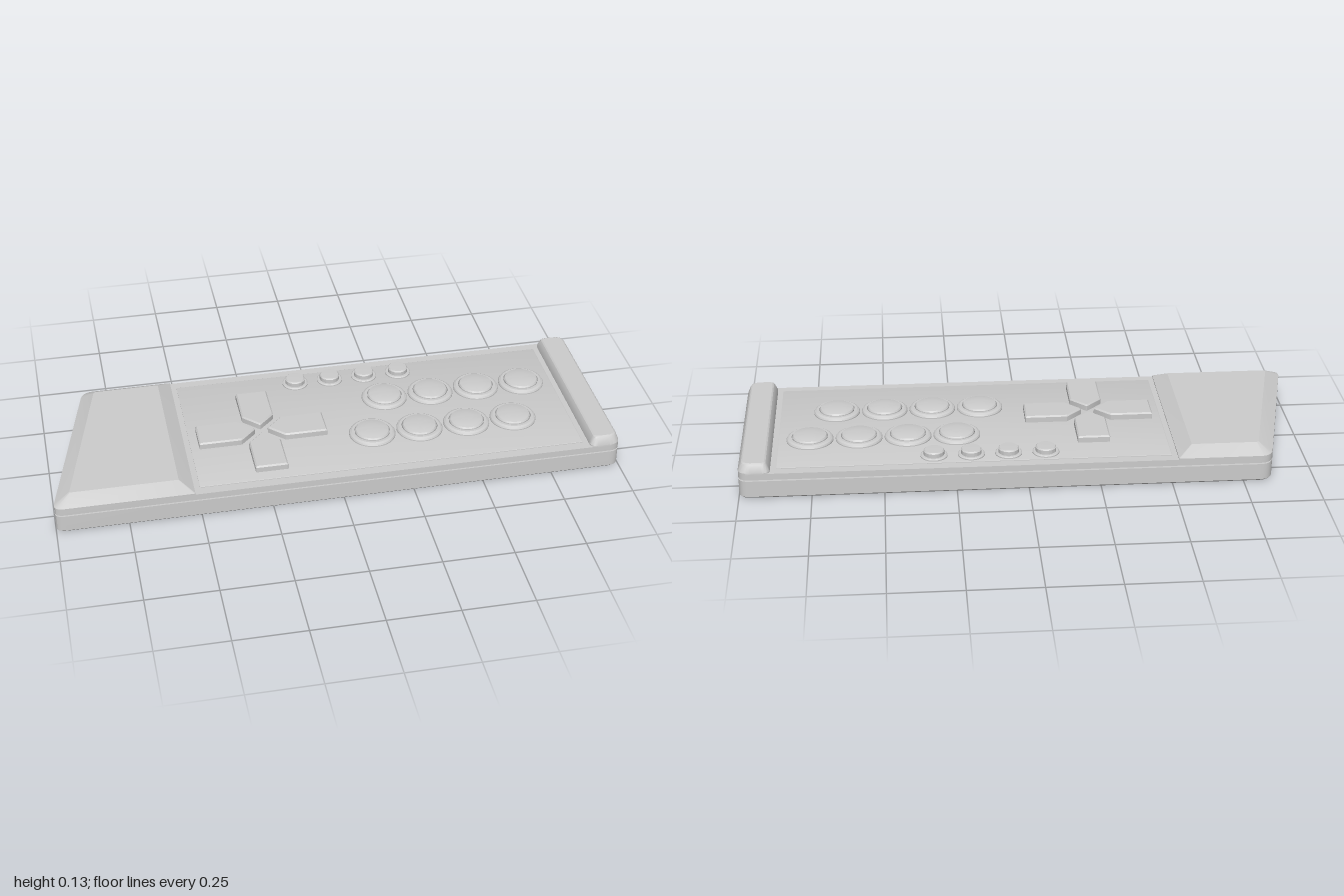
import * as THREE from 'three';
import { toCreasedNormals } from 'three/addons/utils/BufferGeometryUtils.js';

const material = new THREE.MeshStandardMaterial({ color: 0xcccccc });
const ARC = 6;

// Moves every edge of a convex [x, z] outline inwards by d
function inset(corners, d) {
  const n = corners.length;
  const normal = (i) => {
    const a = corners[i], b = corners[(i + 1) % n];
    return new THREE.Vector2(a[1] - b[1], b[0] - a[0]).normalize();
  };
  return corners.map(([x, z], i) => {
    const p = normal((i + n - 1) % n), q = normal(i), k = d / (1 + p.dot(q));
    return new THREE.Vector2(x + (p.x + q.x) * k, z + (p.y + q.y) * k);
  });
}

// Rounds the corners of an outline, always giving ARC + 1 points per corner
function rounded(points, radii, d) {
  const n = points.length;
  return points.flatMap((v, i) => {
    const r = Math.max(radii[i] - d * 0.6, 0.002);
    const towards = (w) => w.clone().sub(v).setLength(r).add(v);
    return new THREE.QuadraticBezierCurve(
      towards(points[(i + n - 1) % n]), v, towards(points[(i + 1) % n])).getPoints(ARC);
  });
}

// Solid through stacked copies of one outline; levels are [height, inset]
function stack(corners, radii, levels) {
  const loops = levels.map(([y, d]) =>
    rounded(inset(corners, d), radii, d).map((p) => new THREE.Vector3(p.x, y, p.y)));
  const pos = [];
  const tri = (...vs) => vs.forEach((v) => pos.push(v.x, v.y, v.z));
  const n = loops[0].length;
  const centre = (loop) => loop.reduce((s, p) => s.add(p), new THREE.Vector3()).divideScalar(n);
  const bottom = loops[0], top = loops[loops.length - 1];
  const cb = centre(bottom), ct = centre(top);
  for (let i = 0; i < n; i++) {
    const j = (i + 1) % n;
    for (let k = 0; k + 1 < loops.length; k++) {
      const lo = loops[k], hi = loops[k + 1];
      tri(lo[i], hi[i], lo[j]);
      tri(lo[j], hi[i], hi[j]);
    }
    tri(cb, bottom[i], bottom[j]);
    tri(ct, top[j], top[i]);
  }
  const geometry = new THREE.BufferGeometry();
  geometry.setAttribute('position', new THREE.Float32BufferAttribute(pos, 3));
  return toCreasedNormals(geometry, 0.4);
}

// Round button from a [radius, height] profile
function lathe(profile) {
  const points = profile.map(([r, y]) => new THREE.Vector2(r, y));
  return toCreasedNormals(new THREE.LatheGeometry(points, 40), 0.45);
}

export function createModel() {
  const model = new THREE.Group();
  const add = (name, geometry, x = 0, z = 0, turn = 0) => {
    const mesh = new THREE.Mesh(geometry, material);
    mesh.name = name;
    mesh.position.set(x, 0, z);
    mesh.rotation.y = turn;
    model.add(mesh);
  };

  // Case with a chamfered underside and a seam around the sides
  const outline = [[-0.845, -0.345], [1, -0.345], [1, 0.345], [-1.007, 0.345]];
  const caseRadii = [0.04, 0.04, 0.04, 0.04];
  add('lowerCase', stack(outline, caseRadii, [[0, 0.006], [0.006, 0], [0.065, 0]]));
  add('seam', stack(outline, caseRadii, [[0.06, 0.01], [0.075, 0.01]]));
  add('upperCase', stack(outline, caseRadii, [[0.07, 0], [0.093, 0]]));

  // Control panel on the deck
  const panel = [[-0.5, -0.31], [0.87, -0.31], [0.87, 0.31], [-0.5, 0.31]];
  add('controlPanel', stack(panel, [0, 0, 0, 0], [[0.09, 0], [0.095, 0], [0.096, 0.002]]));

  // Raised slanted block at one end, raised bar at the other
  const block = [[-0.845, -0.345], [-0.52, -0.345], [-0.52, 0.345], [-1.007, 0.345]];
  add('endBlock', stack(block, [0.04, 0.004, 0.004, 0.04],
    [[0.088, 0], [0.097, 0], [0.127, 0.05]]));
  const bar = [[0.89, -0.345], [1, -0.345], [1, 0.345], [0.89, 0.345]];
  add('endBar', stack(bar, [0.025, 0.04, 0.04, 0.025],
    [[0.088, 0], [0.096, 0], [0.118, 0.009], [0.124, 0.013], [0.127, 0.018]]));

  // Four pointed direction keys
  const key = [[-0.057, -0.23], [0.057, -0.23], [0.057, -0.079], [0, -0.022], [-0.057, -0.079]];
  const keyGeometry = stack(key, [0.004, 0.004, 0.004, 0.004, 0.004],
    [[0.09, 0], [0.115, 0], [0.12, 0.005]]);
  for (let i = 0; i < 4; i++) add('directionKey', keyGeometry, -0.24, 0.035, i * Math.PI / 2);

  // Two staggered rows of large buttons, each with a rim and a domed cap
  const rim = lathe([[0.083, 0.09], [0.083, 0.1], [0.08, 0.105], [0.073, 0.109],
    [0.064, 0.109], [0.064, 0.1]]);
  const cap = lathe([[0.062, 0.098], [0.062, 0.111], [0.058, 0.116], [0.045, 0.119],
    [0.025, 0.121], [0, 0.1215]]);
  for (const [x0, z] of [[0.24, -0.1], [0.148, 0.115]]) {
    for (let i = 0; i < 4; i++) {
      add('buttonRim', rim, x0 + i * 0.173, z);
      add('buttonCap', cap, x0 + i * 0.173, z);
    }
  }

  // Row of small buttons
  const small = lathe([[0.047, 0.09], [0.047, 0.1], [0.043, 0.103], [0.036, 0.103],
    [0.036, 0.117], [0.032, 0.121], [0, 0.122]]);
  for (let i = 0; i < 4; i++) add('smallButton', small, -0.064 + i * 0.13, -0.255);

  return model;
}
